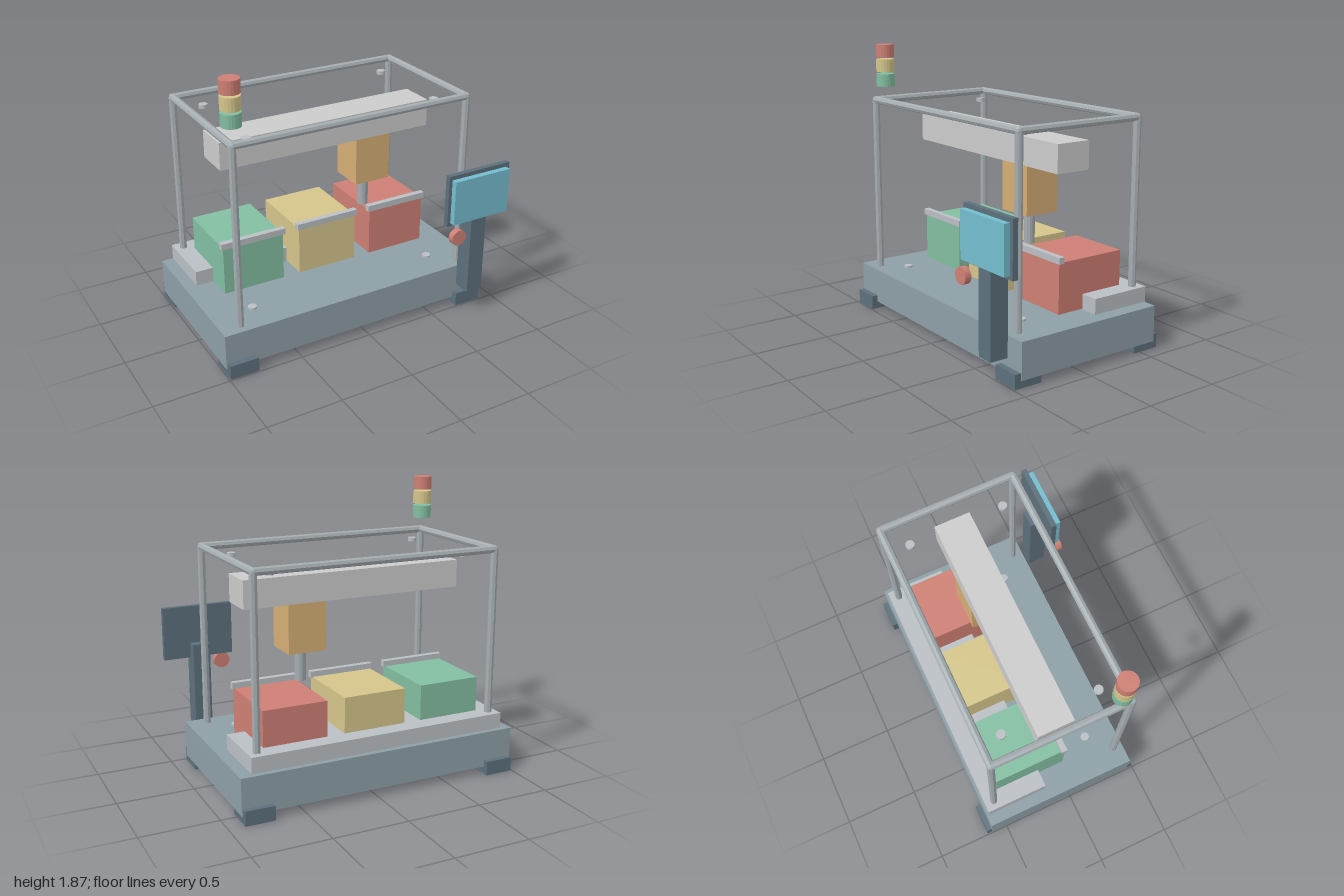
import * as THREE from 'three';

const mat = (color, flat = false) => new THREE.MeshStandardMaterial({ color, flatShading: flat });

export function createModel() {
  const model = new THREE.Group();
  const slate = mat(0x8d9fa6), dark = mat(0x5d707c), grey = mat(0xcccccc), steel = mat(0xbabfc4);
  const tube = mat(0xa6aeb2, true);
  const red = 0xcd7f74, yellow = 0xd5c58b, green = 0x83bea2;

  function add(name, geometry, material, x = 0, y = 0, z = 0, parent = model) {
    const mesh = new THREE.Mesh(geometry, material);
    mesh.name = name;
    mesh.position.set(x, y, z);
    parent.add(mesh);
    return mesh;
  }
  // Box given by its limits on each axis
  function box(name, material, [x0, x1], [y0, y1], [z0, z1], parent = model) {
    return add(name, new THREE.BoxGeometry(x1 - x0, y1 - y0, z1 - z0), material,
      (x0 + x1) / 2, (y0 + y1) / 2, (z0 + z1) / 2, parent);
  }
  // Upright cylinder between two heights
  function post(name, material, r, x, z, y0, y1, sides, parent = model) {
    return add(name, new THREE.CylinderGeometry(r, r, y1 - y0, sides), material,
      x, (y0 + y1) / 2, z, parent);
  }
  function group(name) {
    const g = new THREE.Group();
    g.name = name;
    model.add(g);
    return g;
  }

  // Base plinth on four feet
  box('base', slate, [-1, 0.905], [0.05, 0.29], [-0.61, 0.45]);
  for (const x of [-0.895, 0.8])
    for (const z of [-0.547, 0.393])
      box('foot', dark, [x - 0.096, x + 0.096], [0, 0.095], [z - 0.098, z + 0.098]);

  // Rear tray and the three bins with their front grips
  box('tray', steel, [-0.925, 0.832], [0.3, 0.402], [-0.595, -0.172]);
  const bins = [[-0.592, green], [-0.047, yellow], [0.498, red]];
  for (const [x, color] of bins) {
    const bin = group('bin');
    box('binBody', mat(color), [x - 0.213, x + 0.213], [0.305, 0.635], [-0.48, 0.02], bin);
    box('binGrip', steel, [x - 0.227, x + 0.227], [0.63, 0.672], [-0.01, 0.03], bin);
  }

  // Tubular frame: four posts, a top rectangle and rounded joints
  const frame = group('frame');
  const xs = [-0.866, 0.773], zs = [-0.532, 0.38], r = 0.025, top = 1.49;
  const width = xs[1] - xs[0], depth = zs[1] - zs[0];
  for (const x of xs)
    for (const z of zs) {
      post('framePost', tube, r, x, z, 0.29, top, 8, frame);
      add('frameJoint', new THREE.SphereGeometry(r, 8, 6), tube, x, top, z, frame);
    }
  for (const z of zs)
    add('longRail', new THREE.CylinderGeometry(r, r, width, 8), tube,
      (xs[0] + xs[1]) / 2, top, z, frame).rotation.z = Math.PI / 2;
  for (const x of xs)
    add('sideRail', new THREE.CylinderGeometry(r, r, depth, 8), tube,
      x, top, (zs[0] + zs[1]) / 2, frame).rotation.x = Math.PI / 2;

  // Small round bolts at base and top level
  for (const x of [-0.715, 0.62])
    for (const z of [-0.398, 0.238]) {
      post('baseBolt', steel, 0.029, x, z, 0.28, 0.305, 16);
      post('topBolt', steel, 0.029, x, z, 1.435, 1.461, 16);
    }

  // Overhead beam, carriage and plunger
  box('beam', grey, [-0.805, 0.71], [1.188, 1.37], [-0.2, 0.044]);
  box('carriage', mat(0xd6ae74), [0.16, 0.416], [0.868, 1.188], [-0.2, 0.044]);
  post('plunger', tube, 0.037, 0.286, -0.077, 0.655, 0.87, 12);

  // Stacked signal lights
  [green, yellow, red].forEach((color, i) => {
    const y = 1.585 + i * 0.1;
    post('signalLight', mat(color, true), 0.063, -0.837, 0.317, y, y + 0.086, 20);
  });

  // Control panel on a column, with a screen and a push button
  box('panelColumn', dark, [0.7, 0.817], [0.172, 0.806], [0.486, 0.609]);
  box('panel', dark, [0.52, 0.997], [0.705, 1.06], [0.552, 0.588]);
  box('screen', mat(0x74bdce), [0.543, 0.971], [0.728, 1.032], [0.588, 0.628]);
  add('button', new THREE.CylinderGeometry(0.054, 0.054, 0.042, 20), mat(red, true),
    0.575, 0.639, 0.63).rotation.x = Math.PI / 2;

  return model;
}
